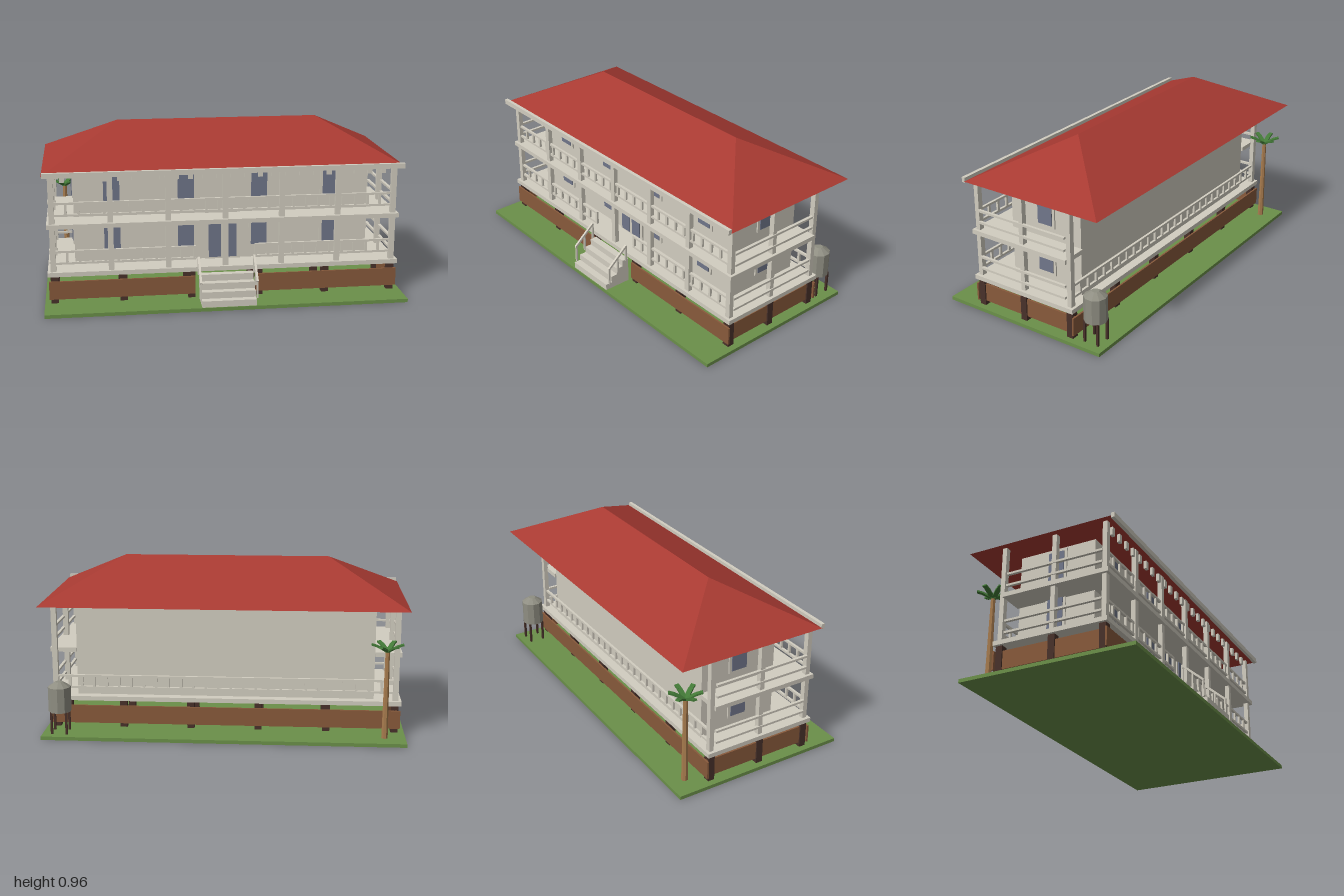
import * as THREE from 'three';

const mat = (name, color) => {
  const m = new THREE.MeshStandardMaterial({ color });
  m.name = name;
  return m;
};

export function createModel() {
  const model = new THREE.Group();
  model.name = 'verandaHouse';
  const cream = mat('creamPaint', 0xd2cdc0);
  const red = mat('redRoof', 0xa83a32);
  const brown = mat('brownBoards', 0x885a3b);
  const dark = mat('darkTimber', 0x48312a);
  const glass = mat('windowGlass', 0x70768a);
  const grass = mat('grass', 0x6b9049);
  const leaf = mat('palmLeaf', 0x437a37);
  const bark = mat('palmBark', 0xa87c4e);
  const metal = mat('tankMetal', 0x8f8e82);

  const add = (name, geometry, material, parent = model) => {
    const mesh = new THREE.Mesh(geometry, material);
    mesh.name = name;
    parent.add(mesh);
    return mesh;
  };
  // Box given by its lower and upper limits on each axis
  const box = (name, material, x0, x1, y0, y1, z0, z1, parent = model) => {
    const mesh = add(name, new THREE.BoxGeometry(x1 - x0, y1 - y0, z1 - z0), material, parent);
    mesh.position.set((x0 + x1) / 2, (y0 + y1) / 2, (z0 + z1) / 2);
    return mesh;
  };
  const group = (name) => {
    const g = new THREE.Group();
    g.name = name;
    model.add(g);
    return g;
  };

  box('lawn', grass, -1, 1, 0, 0.02, -0.5, 0.5);

  // Stilts and boarded base
  const base = group('base');
  for (let i = 0; i < 6; i++) {
    const x = -0.945 + i * 0.378;
    for (const z of [0.303, 0.015, -0.29]) box('stilt', dark, x - 0.02, x + 0.02, 0.02, 0.175, z - 0.019, z + 0.019, base);
  }
  for (const s of [-1, 1]) {
    box('frontSkirt', brown, s < 0 ? -0.975 : 0.17, s < 0 ? -0.17 : 0.975, 0.045, 0.147, 0.322, 0.332, base);
    box('sideSkirt', brown, s * 0.952 - 0.006, s * 0.952 + 0.006, 0.045, 0.147, -0.318, 0.322, base);
  }
  box('backSkirt', brown, -0.975, 0.975, 0.045, 0.147, -0.322, -0.312, base);

  // Floors and walls
  box('deck', cream, -0.98, 0.98, 0.175, 0.2, -0.32, 0.335);
  box('walls', cream, -0.83, 0.83, 0.2, 0.745, -0.27, 0.18);
  box('upperFloorFront', cream, -0.978, 0.978, 0.445, 0.47, 0.18, 0.335);
  for (const s of [-1, 1]) box('upperFloorSide', cream, s * 0.904 - 0.074, s * 0.904 + 0.074, 0.445, 0.47, -0.28, 0.18);

  // Windows on the front and both ends
  const addWindow = (x, y, z, turn) => {
    const w = group('window');
    box('windowFrame', cream, -0.06, 0.06, -0.1, 0.1, 0, 0.008, w);
    box('windowPane', glass, -0.045, 0.045, -0.085, 0.085, 0.006, 0.013, w);
    w.position.set(x, y, z);
    w.rotation.y = turn;
  };
  for (const y of [0.363, 0.635]) {
    for (const x of [-0.62, -0.207, 0.207, 0.617]) addWindow(x, y, 0.18, 0);
    for (const s of [-1, 1]) addWindow(s * 0.83, y, -0.047, s * Math.PI / 2);
  }

  // Double door
  const door = group('door');
  box('doorFrame', cream, -0.1, 0.1, 0.2, 0.48, 0.18, 0.19, door);
  for (const s of [-1, 1]) box('doorPane', glass, s * 0.045 - 0.034, s * 0.045 + 0.034, 0.21, 0.445, 0.188, 0.195, door);

  // Veranda posts
  const posts = group('posts');
  const post = (x, z) => box('post', cream, x - 0.015, x + 0.015, 0.2, 0.745, z - 0.013, z + 0.013, posts);
  for (let i = 0; i < 7; i++) post(-0.948 + i * 0.316, 0.307);
  for (const s of [-1, 1]) for (const z of [0.013, -0.291]) post(s * 0.948, z);

  // Railings with balusters along x, plain rails on the sides
  const rails = group('railings');
  const railX = (x0, x1, y, z) => {
    for (const h of [0, 0.066]) box('rail', cream, x0, x1, y + h, y + h + 0.012, z - 0.007, z + 0.007, rails);
    const n = Math.round((x1 - x0) / 0.07);
    for (let i = 0; i <= n; i++) {
      const x = x0 + 0.007 + ((x1 - x0 - 0.014) * i) / n;
      box('baluster', cream, x - 0.007, x + 0.007, y + 0.012, y + 0.066, z - 0.006, z + 0.006, rails);
    }
  };
  railX(-0.948, -0.165, 0.239, 0.307);
  railX(0.165, 0.948, 0.239, 0.307);
  railX(-0.948, 0.948, 0.51, 0.307);
  railX(-0.948, 0.948, 0.239, -0.29);
  for (const s of [-1, 1]) for (const y of [0.239, 0.305, 0.51, 0.577]) {
    box('sideRail', cream, s * 0.96 - 0.008, s * 0.96 + 0.008, y, y + 0.012, -0.267, 0.296, rails);
  }

  // Hipped roof with a closed underside
  const [a, b, c, d, e, f] = [
    [-0.995, 0.745, 0.355], [0.995, 0.745, 0.355], [0.995, 0.745, -0.492],
    [-0.995, 0.745, -0.492], [-0.57, 0.965, -0.066], [0.57, 0.965, -0.066],
  ];
  const roof = new THREE.BufferGeometry();
  const corners = [a, b, f, a, f, e, b, c, f, c, d, e, c, e, f, d, a, e, a, d, c, a, c, b].flat();
  roof.setAttribute('position', new THREE.Float32BufferAttribute(corners, 3));
  roof.computeVertexNormals();
  add('roof', roof, red);

  // Eaves board and hanging trim
  box('eavesBoard', cream, -0.99, 0.99, 0.737, 0.765, 0.354, 0.374);
  const trim = group('eavesTrim');
  for (let i = 0; i < 24; i++) {
    const x = -0.885 + i * 0.077;
    box('trimTooth', cream, x - 0.013, x + 0.013, 0.7, 0.745, 0.3, 0.316, trim);
  }

  // Front steps with handrails
  const steps = group('steps');
  for (let i = 0; i < 4; i++) {
    box('step', cream, -0.15, 0.15, 0.02, 0.056 + i * 0.037, 0.335, 0.495 - i * 0.04, steps);
  }
  for (const s of [-1, 1]) {
    const x = s * 0.155;
    for (let i = 0; i < 3; i++) {
      const z = 0.475 - i * 0.06;
      box('handrailPost', cream, x - 0.005, x + 0.005, 0.056 + i * 0.054, 0.155 + i * 0.053, z - 0.005, z + 0.005, steps);
    }
    const rail = add('handrail', new THREE.BoxGeometry(0.012, 0.012, 0.168), cream, steps);
    rail.position.set(x, 0.208, 0.416);
    rail.rotation.x = Math.atan2(0.108, 0.125);
  }

  // Water tank on legs
  const tank = group('waterTank');
  tank.position.set(0.905, 0, -0.412);
  const faceted = (rTop, rBottom, h, sides) => {
    const g = new THREE.CylinderGeometry(rTop, rBottom, h, sides).toNonIndexed();
    g.computeVertexNormals();
    return g;
  };
  add('tankBody', faceted(0.063, 0.063, 0.14, 10), metal, tank).position.y = 0.213;
  add('tankLid', faceted(0.021, 0.063, 0.028, 10), metal, tank).position.y = 0.297;
  for (const x of [-0.041, 0.041]) for (const z of [-0.041, 0.041]) {
    box('tankLeg', dark, x - 0.006, x + 0.006, 0.02, 0.145, z - 0.006, z + 0.006, tank);
  }

  // Palm tree
  const palm = group('palmTree');
  palm.position.set(-0.885, 0, -0.402);
  add('trunk', faceted(0.012, 0.018, 0.49, 7), bark, palm).position.y = 0.265;
  for (let i = 0; i < 6; i++) {
    const frond = new THREE.Group();
    frond.name = 'frond';
    frond.position.y = 0.508;
    frond.rotation.y = (i * Math.PI) / 3;
    palm.add(frond);
    const inner = add('frondInner', new THREE.BoxGeometry(0.065, 0.009, 0.026), leaf, frond);
    inner.position.set(0.03, 0.016, 0);
    inner.rotation.z = 0.5;
    const tip = add('frondTip', new THREE.BoxGeometry(0.032, 0.009, 0.024), leaf, frond);
    tip.position.set(0.071, 0.035, 0);
    tip.rotation.z = 0.3;
  }
  return model;
}
